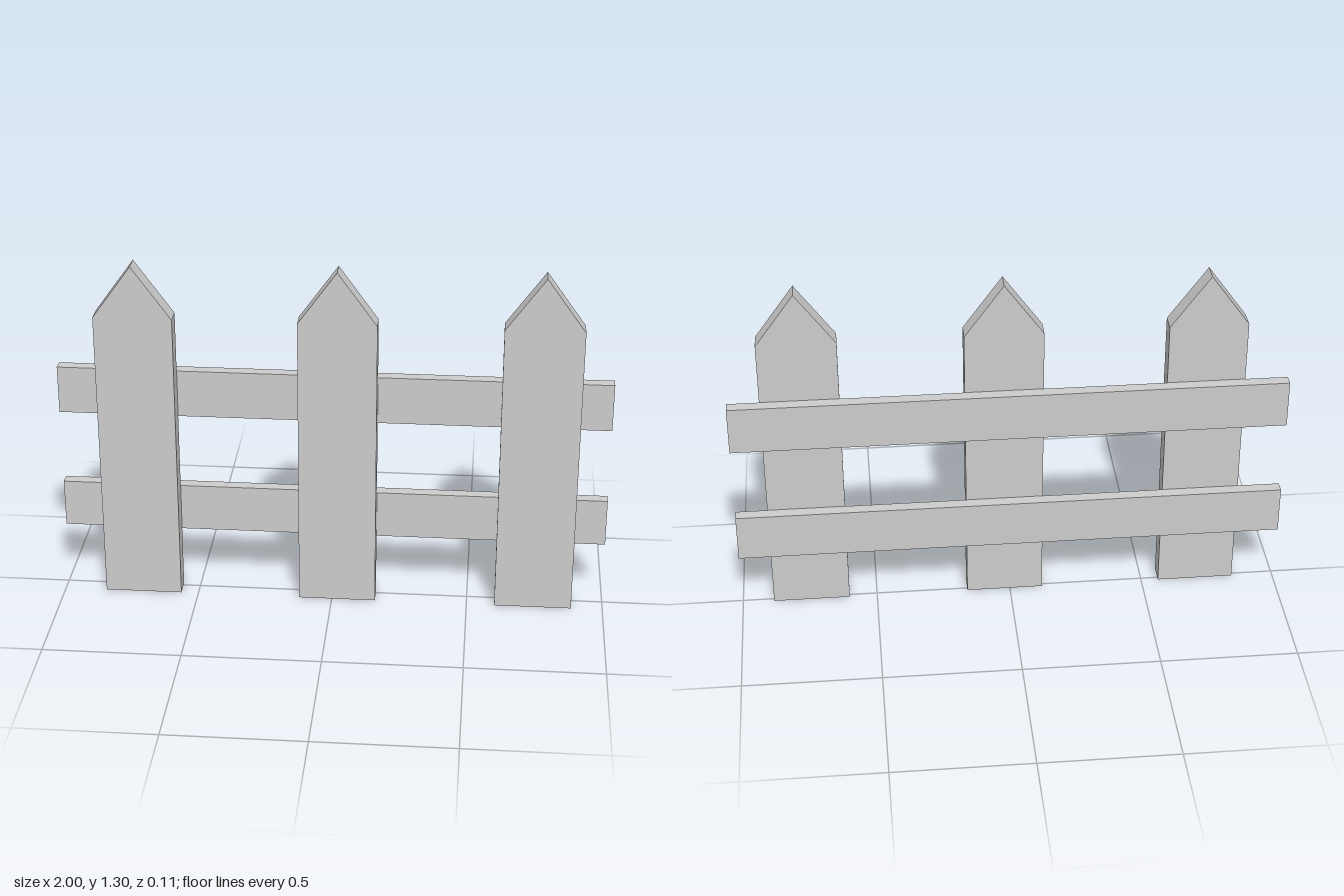
import * as THREE from 'three';

// Drops the triangles facing a direction, leaving that end open
function openEnd(source, dir) {
  const geo = source.index ? source.toNonIndexed() : source;
  const p = geo.attributes.position;
  const tri = new THREE.Triangle();
  const n = new THREE.Vector3();
  const kept = [];
  for (let i = 0; i < p.count; i += 3) {
    tri.setFromAttributeAndIndices(p, i, i + 1, i + 2);
    tri.getNormal(n);
    if (n.dot(dir) > 0.99) continue;
    for (const v of [tri.a, tri.b, tri.c]) kept.push(v.x, v.y, v.z);
  }
  const out = new THREE.BufferGeometry();
  out.setAttribute('position', new THREE.Float32BufferAttribute(kept, 3));
  out.computeVertexNormals();
  return out;
}

export function createModel() {
  const fence = new THREE.Group();
  fence.name = 'picketFence';

  const grey = new THREE.MeshStandardMaterial({ color: 0xcccccc, side: THREE.DoubleSide });
  grey.name = 'light grey';

  const back = -0.0565, joint = -0.0135, front = 0.0565;

  // Pointed pickets, open underneath
  const half = 0.141, shoulder = 1.1, tip = 1.296;
  const outline = new THREE.Shape([
    [-half, 0], [half, 0], [half, shoulder], [0, tip], [-half, shoulder],
  ].map(([x, y]) => new THREE.Vector2(x, y)));
  const picketGeo = openEnd(
    new THREE.ExtrudeGeometry(outline, { depth: front - joint, bevelEnabled: false }),
    new THREE.Vector3(0, -1, 0));
  ['rightPicket', 'middlePicket', 'leftPicket'].forEach((name, i) => {
    const picket = new THREE.Mesh(picketGeo, grey);
    picket.name = name;
    picket.position.set(-0.705 + i * 0.7245, 0, joint);
    fence.add(picket);
  });

  // Horizontal rails behind the pickets, open at the right end
  const railGeo = openEnd(
    new THREE.BoxGeometry(2, 0.178, joint - back),
    new THREE.Vector3(-1, 0, 0));
  [['lowerRail', 0.324], ['upperRail', 0.785]].forEach(([name, y]) => {
    const rail = new THREE.Mesh(railGeo, grey);
    rail.name = name;
    rail.position.set(0, y, (back + joint) / 2);
    fence.add(rail);
  });

  return fence;
}
